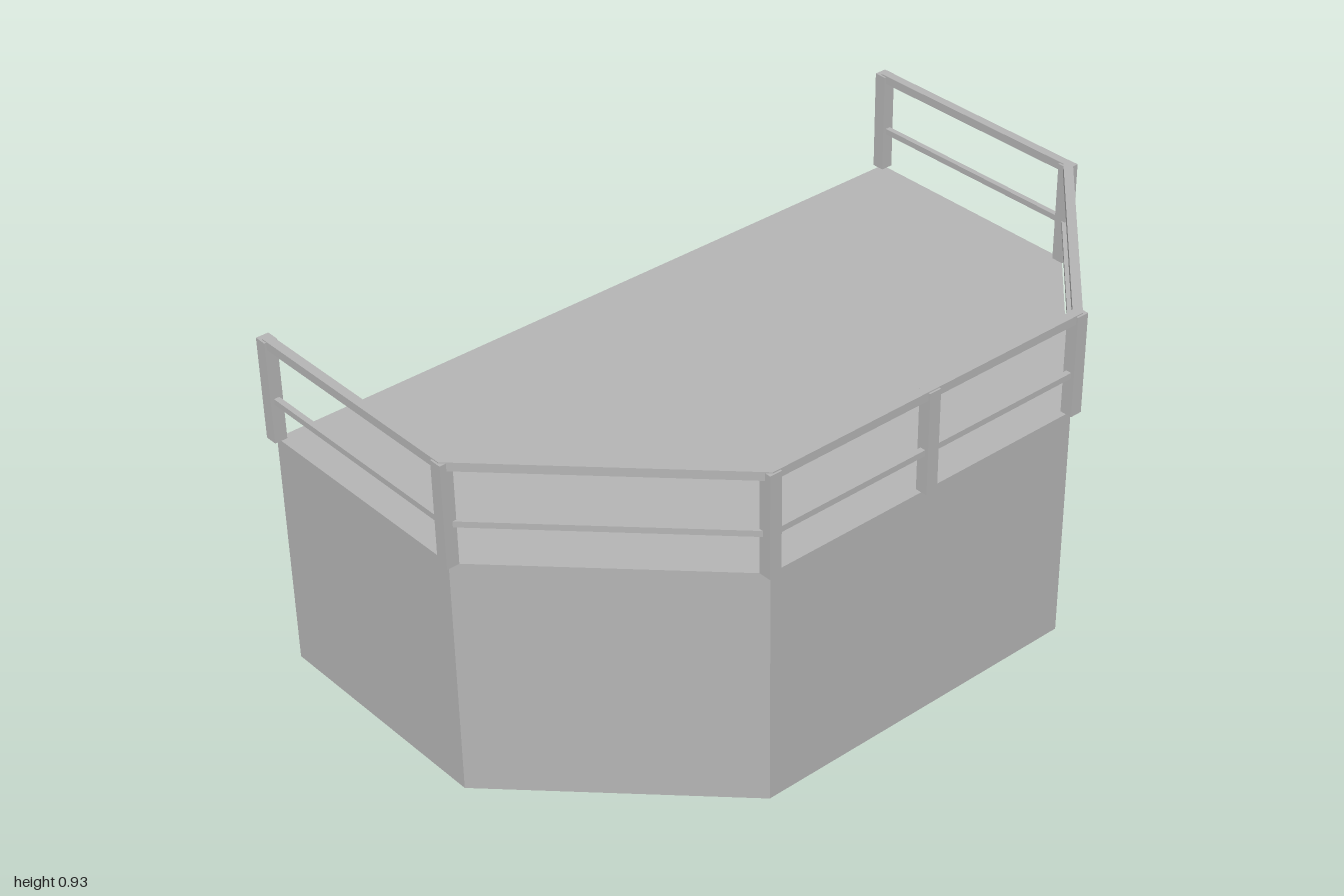
import * as THREE from 'three';

const FLOOR = 0.65;
// Railing line around the open edges, as [x, z]
const EDGE = [[-0.583, -0.983], [0.08, -0.983], [0.582, -0.48], [0.582, 0.48], [0.08, 0.983], [-0.583, 0.983]];

export function createModel() {
  const model = new THREE.Group();
  const concrete = new THREE.MeshStandardMaterial({ color: 0xb4b4b4 });
  concrete.name = 'concreteGrey';

  const add = (name, geometry) => {
    const mesh = new THREE.Mesh(geometry, concrete);
    mesh.name = name;
    model.add(mesh);
    return mesh;
  };

  // Solid platform with two cut corners
  const outline = new THREE.Shape(EDGE.map(([x, z]) => new THREE.Vector2(x, -z)));
  const body = new THREE.ExtrudeGeometry(outline, { depth: FLOOR, bevelEnabled: false });
  add('platform', body.rotateX(-Math.PI / 2));

  // Square posts at every corner and midway along the long side
  const postTop = 0.926;
  for (const [x, z] of [...EDGE, [0.582, 0]]) {
    const post = add('railingPost', new THREE.BoxGeometry(0.034, postTop - FLOOR, 0.034));
    post.position.set(x, (FLOOR + postTop) / 2, z);
  }

  // Rails run between neighbouring corners, mitred where they meet
  const miter = (i, offset) => {
    const p = new THREE.Vector2(...EDGE[i]);
    const normal = (a, b) => new THREE.Vector2(EDGE[b][1] - EDGE[a][1], EDGE[a][0] - EDGE[b][0]).normalize();
    const n1 = normal(Math.max(i - 1, 0), Math.max(i, 1));
    const n2 = i < EDGE.length - 1 ? normal(i, i + 1) : n1;
    const m = n1.clone().add(n2).normalize();
    return p.addScaledVector(m, offset / m.dot(n1));
  };
  const rail = (name, width, bottom, top) => {
    const line = [];
    for (let i = 0; i < EDGE.length; i++) line.push(miter(i, width / 2));
    for (let i = EDGE.length - 1; i >= 0; i--) line.push(miter(i, -width / 2));
    const shape = new THREE.Shape(line.map((p) => new THREE.Vector2(p.x, -p.y)));
    const geometry = new THREE.ExtrudeGeometry(shape, { depth: top - bottom, bevelEnabled: false });
    add(name, geometry.rotateX(-Math.PI / 2)).position.y = bottom;
  };
  rail('topRail', 0.024, 0.906, 0.929);
  rail('middleRail', 0.015, 0.754, 0.77);

  return model;
}
